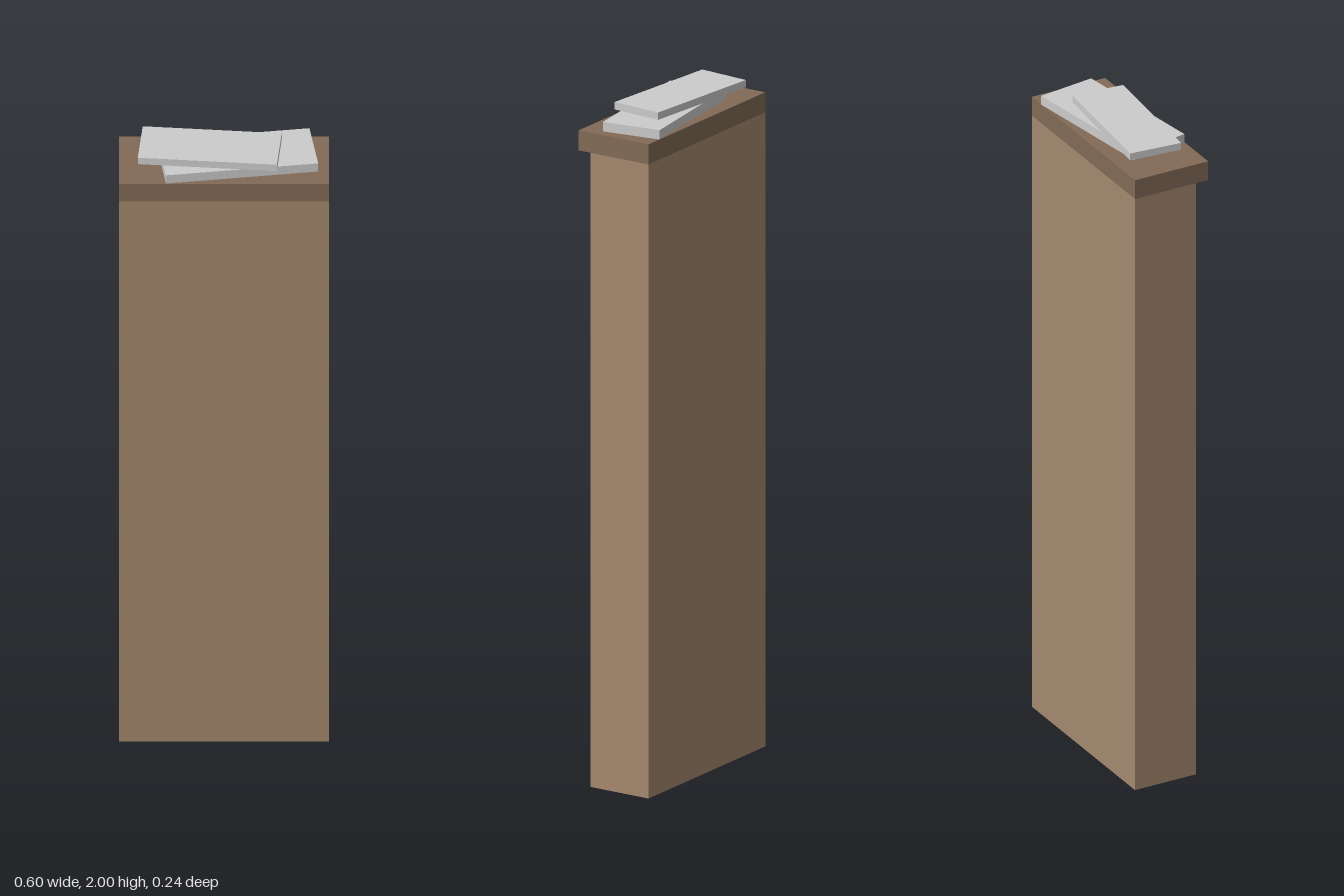
import * as THREE from 'three';

const material = (name, color) => {
  const m = new THREE.MeshStandardMaterial({ color });
  m.name = name;
  return m;
};

export function createModel() {
  const group = new THREE.Group();
  group.name = 'narrowCounter';
  const tan = material('tan wood', 0xa5896e);
  const brown = material('brown wood', 0x826b56);
  const grey = material('light grey', 0xcccccc);

  // Box placed by its bottom height, with an optional turn about y
  const addBox = (name, mat, [w, h, d], [x, bottom, z], turn = 0) => {
    const mesh = new THREE.Mesh(new THREE.BoxGeometry(w, h, d), mat);
    mesh.name = name;
    mesh.position.set(x, bottom + h / 2, z);
    mesh.rotation.y = turn;
    group.add(mesh);
  };

  // Panel body, and a top that overhangs only at the front
  addBox('body', tan, [0.596, 1.89, 0.199], [0, 0, -0.02]);
  addBox('topBoard', brown, [0.596, 0.06, 0.239], [0, 1.89, 0]);

  // Two loosely stacked slabs
  addBox('lowerSlab', grey, [0.437, 0.028, 0.179], [0.039, 1.95, -0.0015], 0.139);
  addBox('upperSlab', grey, [0.397, 0.022, 0.159], [-0.0405, 1.978, -0.001], -0.088);

  return group;
}
